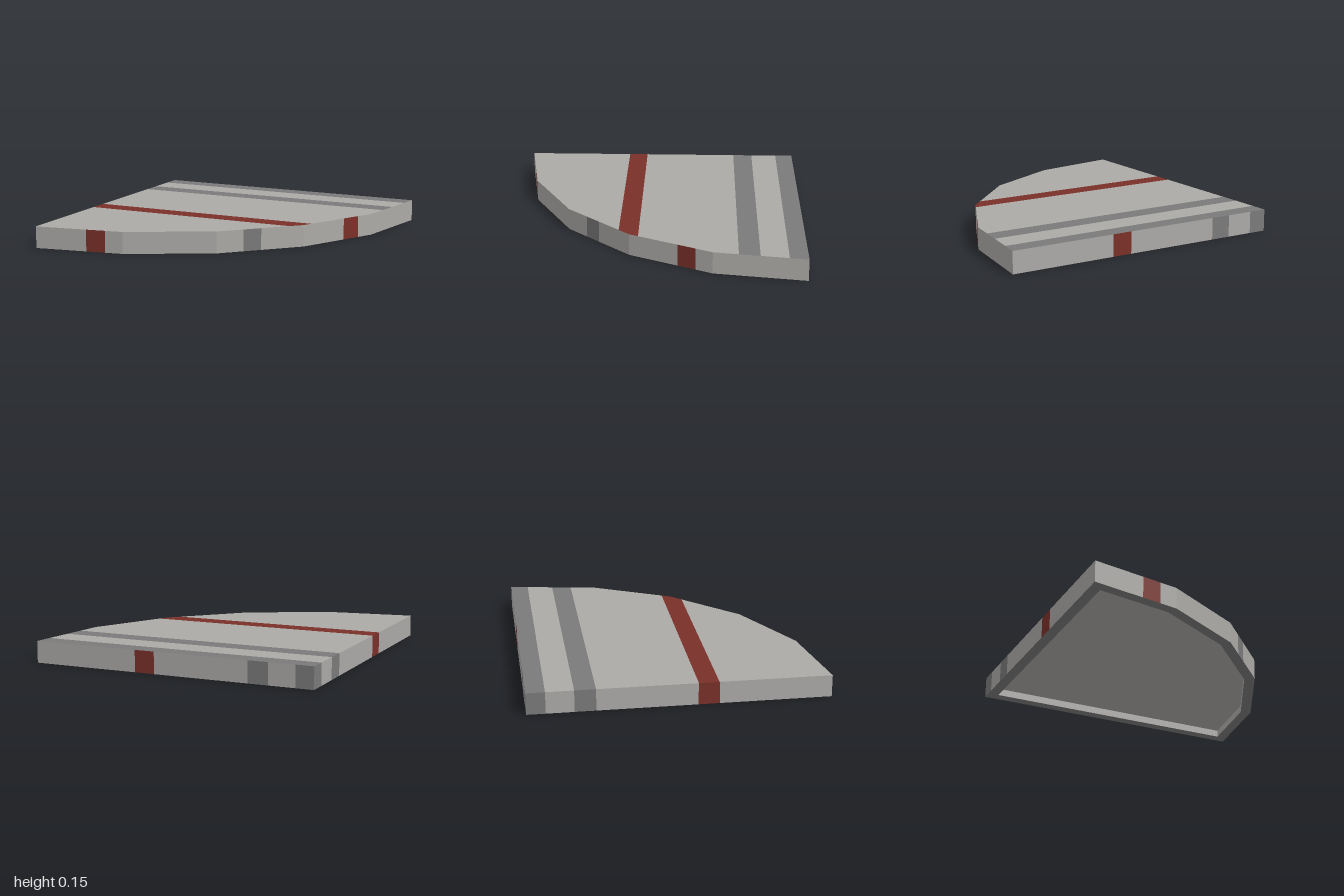
import * as THREE from 'three';

const HEIGHT = 0.15, RECESS = 0.05, RIM = 0.075, RADIUS = 2, SEGMENTS = 5;

function material(name, color) {
  const m = new THREE.MeshStandardMaterial({ color });
  m.name = name;
  return m;
}

// Quarter-disc outline as [x, z], shrunk evenly by "inset"
function outline(inset) {
  const step = Math.PI / 2 / SEGMENTS, half = step / 2;
  const apothem = RADIUS * Math.cos(half) - inset;
  const end = (apothem - inset * Math.sin(half)) / Math.cos(half);
  const pts = [[inset, inset], [end, inset]];
  for (let i = 1; i < SEGMENTS; i++) {
    const r = apothem / Math.cos(half);
    pts.push([r * Math.cos(i * step), r * Math.sin(i * step)]);
  }
  pts.push([inset, end]);
  return pts.map(([x, z]) => [x - 1, z - 1]);
}

// Keep the part of a convex polygon with sign * z >= sign * limit
function clip(pts, limit, sign) {
  const out = [];
  pts.forEach((p, i) => {
    const q = pts[(i + 1) % pts.length];
    const a = sign * (p[1] - limit), b = sign * (q[1] - limit);
    if (a >= 0) out.push(p);
    if ((a > 0 && b < 0) || (a < 0 && b > 0)) {
      out.push([p[0] + (q[0] - p[0]) * a / (a - b), limit]);
    }
  });
  return out;
}

const vectors = (pts, flip = 1) => pts.map(([x, z]) => new THREE.Vector2(x, z * flip));

export function createModel() {
  const light = material('lightGrey', 0xacaaa7);
  const dark = material('darkGrey', 0x7a7a7a);
  const red = material('stripeRed', 0x7a3029);
  const group = new THREE.Group();
  group.name = 'quarterRoundPlate';

  const add = (name, geometry, mat) => {
    const mesh = new THREE.Mesh(geometry, mat);
    mesh.name = name;
    group.add(mesh);
    return mesh;
  };

  const outer = outline(0), inner = outline(RIM);

  // Striped top surface, back to front
  const bands = [[-0.875, dark], [-0.69, light], [-0.55, dark], [0.115, light], [0.25, red], [1, light]];
  let from = -1;
  for (const [to, mat] of bands) {
    const shape = new THREE.Shape(vectors(clip(clip(outer, from, 1), to, -1), -1));
    add('topBand', new THREE.ShapeGeometry(shape).rotateX(-Math.PI / 2), mat).position.y = HEIGHT;
    from = to;
  }

  // Upright strip of a wall between fractions a and b of edge p-q
  const strip = (name, p, q, a, b, y0, y1, mat, inward) => {
    const dx = q[0] - p[0], dz = q[1] - p[1], mid = (a + b) / 2;
    const side = inward ? -1 : 1;
    const plane = new THREE.PlaneGeometry(Math.hypot(dx, dz) * (b - a), y1 - y0);
    plane.rotateY(Math.atan2(dz * side, -dx * side));
    add(name, plane, mat).position.set(p[0] + dx * mid, (y0 + y1) / 2, p[1] + dz * mid);
  };

  // Stripes on each outer wall: [end fraction, colour]
  const walls = [
    [[0.0625, dark], [0.155, light], [0.225, dark], [0.557, light], [0.627, red], [1, light]],
    [[1, light]],
    [[0.2, light], [0.416, red], [1, light]],
    [[0.493, light], [0.697, dark], [1, light]],
    [[1, light]],
    [[0.2, light], [0.417, red], [1, light]],
    [[0.373, light], [0.443, red], [0.775, light], [0.845, dark], [0.9375, light], [1, dark]],
  ];
  walls.forEach((parts, i) => {
    const j = (i + 1) % outer.length;
    let start = 0;
    for (const [end, mat] of parts) {
      strip('outerWall', outer[i], outer[j], start, end, 0, HEIGHT, mat, false);
      start = end;
    }
    strip('recessWall', inner[i], inner[j], 0, 1, 0, RECESS, light, true);
  });

  // Underside: dark rim around a lighter recessed panel
  const rim = new THREE.Shape(vectors(outer));
  rim.holes.push(new THREE.Path(vectors(inner)));
  add('bottomRim', new THREE.ShapeGeometry(rim).rotateX(Math.PI / 2), dark);
  const panel = new THREE.ShapeGeometry(new THREE.Shape(vectors(inner))).rotateX(Math.PI / 2);
  add('recessPanel', panel, light).position.y = RECESS;

  return group;
}
